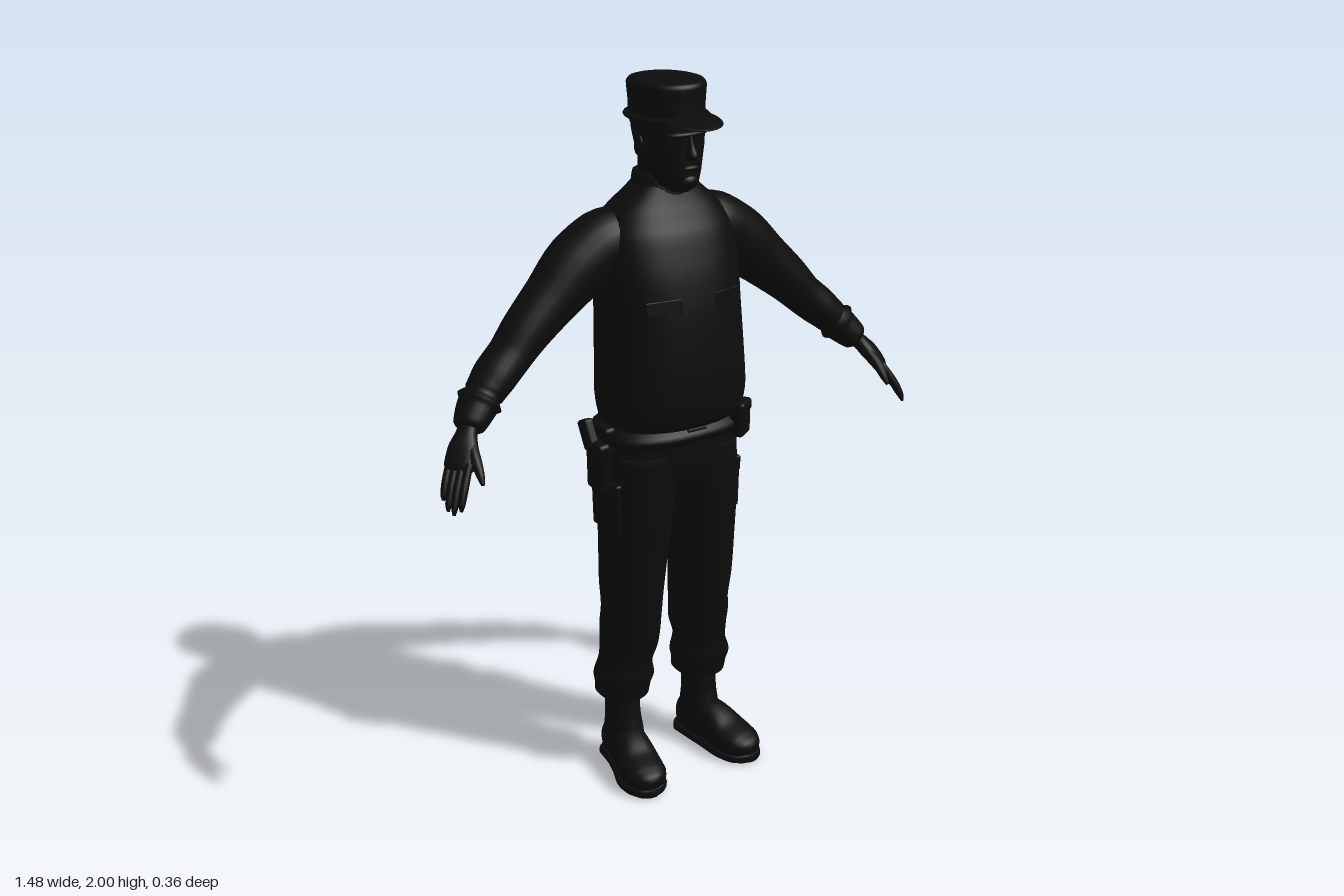
import * as THREE from 'three';
import { RoundedBoxGeometry } from 'three/addons/geometries/RoundedBoxGeometry.js';

const UP = new THREE.Vector3(0, 1, 0);

// Smooth skin through rings { c: centre, u, v: half-axis vectors }, squared off by power n
function skin(rings, n = 2, seg = 36) {
  const pos = [], idx = [];
  const bend = (k) => Math.sign(k) * Math.pow(Math.abs(k), 2 / n);
  for (const { c, u, v } of rings) {
    for (let j = 0; j < seg; j++) {
      const a = (j / seg) * Math.PI * 2;
      const p = c.clone().addScaledVector(u, bend(Math.cos(a))).addScaledVector(v, bend(Math.sin(a)));
      pos.push(p.x, p.y, p.z);
    }
  }
  const last = rings.length - 1;
  for (let i = 0; i < last; i++) {
    for (let j = 0; j < seg; j++) {
      const k = (j + 1) % seg, a = i * seg, b = a + seg;
      idx.push(a + j, a + k, b + k, a + j, b + k, b + j);
    }
  }
  const base = rings.length * seg;
  pos.push(...rings[0].c.toArray(), ...rings[last].c.toArray());
  for (let j = 0; j < seg; j++) {
    const k = (j + 1) % seg;
    idx.push(base, k, j, base + 1, last * seg + j, last * seg + k);
  }
  const g = new THREE.BufferGeometry();
  g.setAttribute('position', new THREE.Float32BufferAttribute(pos, 3));
  g.setIndex(idx);
  g.computeVertexNormals();
  return g;
}

// Adds in-between rows [x, y, z, ru, rv] along a smooth curve
function refine(rows, steps = 4) {
  const centre = new THREE.CatmullRomCurve3(rows.map((r) => new THREE.Vector3(r[0], r[1], r[2])));
  const size = new THREE.CatmullRomCurve3(rows.map((r) => new THREE.Vector3(r[3], r[4], 0)));
  const count = (rows.length - 1) * steps;
  return Array.from({ length: count + 1 }, (_, i) => {
    const t = i / count;
    return { c: centre.getPoint(t), d: centre.getTangent(t), s: size.getPoint(t) };
  });
}

// Upright body: rows [y, cx, cz, rx, rz] from bottom to top
function upright(rows, n, side = 1) {
  return skin(refine(rows.map(([y, x, z, a, b]) => [x * side, y, z, a, b])).map(({ c, s }) => ({
    c, u: new THREE.Vector3(s.x, 0, 0), v: new THREE.Vector3(0, 0, -s.y),
  })), n);
}

// Limb along a path: rows [x, y, z, half width, half thickness]
function limb(rows, n, side = 1, seg = 24) {
  return skin(refine(rows.map(([x, ...r]) => [x * side, ...r])).map(({ c, d, s }) => {
    const u = UP.clone().cross(d).normalize();
    const v = d.clone().cross(u).normalize();
    return { c, u: u.multiplyScalar(s.x), v: v.multiplyScalar(s.y) };
  }), n, seg);
}

export function createModel() {
  const model = new THREE.Group();
  model.name = 'uniformedFigure';
  const black = new THREE.MeshStandardMaterial({ color: 0x0c0c0c });
  black.name = 'black';

  const add = (name, geometry, p = [0, 0, 0], r = [0, 0, 0], s = [1, 1, 1]) => {
    const m = new THREE.Mesh(geometry, black);
    m.name = name;
    m.position.set(...p);
    m.rotation.set(...r);
    m.scale.set(...s);
    model.add(m);
    return m;
  };
  const box = (name, size, p, r) => add(name, new RoundedBoxGeometry(...size, 3, Math.min(...size) * 0.3), p, r);
  const ball = (name, p, s, r) => add(name, new THREE.SphereGeometry(1, 28, 18), p, r, s);

  // Shirt, bloused over the belt
  add('shirt', upright([
    [1.075, 0, -0.01, 0.18, 0.13], [1.1, 0, -0.005, 0.204, 0.146], [1.16, 0, -0.006, 0.212, 0.158],
    [1.25, 0, -0.01, 0.206, 0.164], [1.4, 0, -0.02, 0.2, 0.16], [1.5, 0, -0.03, 0.203, 0.15],
    [1.6, 0, -0.04, 0.19, 0.127], [1.66, 0, -0.048, 0.16, 0.103], [1.7, 0, -0.045, 0.115, 0.08],
    [1.73, 0, -0.043, 0.08, 0.066],
  ], 2.4));

  // Trouser seat and belt
  add('trouserSeat', upright([
    [0.87, 0, -0.022, 0.1, 0.08], [0.92, 0, -0.022, 0.18, 0.118], [1.0, 0, -0.023, 0.199, 0.131],
    [1.1, 0, -0.02, 0.197, 0.13],
  ], 2.5));
  add('belt', upright([
    [1.03, 0, -0.018, 0.198, 0.133], [1.035, 0, -0.018, 0.205, 0.139],
    [1.075, 0, -0.016, 0.205, 0.139], [1.08, 0, -0.016, 0.198, 0.133],
  ], 2.5));
  box('beltBuckle', [0.06, 0.048, 0.012], [0, 1.055, 0.122]);

  // Head, neck and face
  add('neck', upright([
    [1.64, 0, -0.04, 0.078, 0.066], [1.74, 0, -0.035, 0.071, 0.064], [1.82, 0, -0.03, 0.073, 0.068],
  ], 2));
  add('head', upright([
    [1.715, 0, 0.035, 0.026, 0.034], [1.732, 0, 0.02, 0.05, 0.07], [1.77, 0, 0, 0.068, 0.092],
    [1.83, 0, -0.012, 0.083, 0.103], [1.88, 0, -0.018, 0.088, 0.108], [1.95, 0, -0.02, 0.08, 0.1],
  ], 2.15));
  add('nose', upright([
    [1.803, 0, 0.088, 0.012, 0.012], [1.815, 0, 0.092, 0.017, 0.023],
    [1.84, 0, 0.086, 0.011, 0.016], [1.87, 0, 0.082, 0.008, 0.01],
  ], 2));
  ball('lips', [0, 1.782, 0.089], [0.026, 0.009, 0.012]);
  ball('chin', [0, 1.747, 0.075], [0.028, 0.02, 0.023]);
  ball('brow', [0, 1.868, 0.068], [0.062, 0.012, 0.026]);

  // Cap with a flared crown and a short peak
  add('capCrown', upright([
    [1.882, 0, -0.022, 0.09, 0.108], [1.9, 0, -0.022, 0.094, 0.111], [1.94, 0, -0.023, 0.095, 0.111],
    [1.983, 0, -0.024, 0.099, 0.113], [1.995, 0, -0.024, 0.093, 0.106], [2.0, 0, -0.024, 0.072, 0.084],
  ], 2.05));
  add('capBand', upright([
    [1.892, 0, -0.022, 0.093, 0.11], [1.896, 0, -0.022, 0.097, 0.114],
    [1.911, 0, -0.022, 0.097, 0.114], [1.915, 0, -0.022, 0.093, 0.11],
  ], 2));
  ball('capPeak', [0, 1.906, 0.08], [0.083, 0.009, 0.1], [0.1, 0, 0]);

  // Collar band and pointed flaps
  add('collarBand', upright([
    [1.69, 0, -0.042, 0.098, 0.078], [1.72, 0, -0.042, 0.089, 0.074],
    [1.755, 0, -0.046, 0.08, 0.068], [1.758, 0, -0.046, 0.074, 0.062],
  ], 2));
  for (const side of [1, -1]) {
    const flap = new THREE.Shape([[0.01, 1.69], [0.07, 1.73], [0.1, 1.68], [0.055, 1.615]]
      .map(([x, y]) => new THREE.Vector2(x * side, y - 1.68)));
    const flapGeo = new THREE.ExtrudeGeometry(flap, { depth: 0.012, bevelEnabled: false });
    add('collarFlap', flapGeo, [0, 1.68, 0.03], [-0.6, side * 0.3, 0]);
  }

  for (const side of [1, -1]) {
    const name = (part) => (side > 0 ? 'left' : 'right') + part;

    ball(name('Ear'), [side * 0.087, 1.832, -0.02], [0.01, 0.028, 0.017], [0.15, 0, 0]);
    box(name('ChestPocketFlap'), [0.1, 0.04, 0.012], [side * 0.1, 1.43, 0.115], [-0.15, side * 0.3, 0]);

    // Sleeve, with soft folds toward the cuff
    add(name('Sleeve'), limb([
      [0.09, 1.6, -0.06, 0.07, 0.07], [0.17, 1.575, -0.064, 0.09, 0.091], [0.25, 1.525, -0.066, 0.087, 0.092],
      [0.34, 1.45, -0.058, 0.074, 0.077], [0.42, 1.38, -0.05, 0.067, 0.066], [0.47, 1.33, -0.043, 0.062, 0.058],
      [0.52, 1.287, -0.034, 0.062, 0.056], [0.56, 1.25, -0.022, 0.055, 0.05], [0.585, 1.225, -0.012, 0.055, 0.05],
      [0.625, 1.185, 0.012, 0.043, 0.039], [0.632, 1.178, 0.017, 0.03, 0.028],
    ], 2, side));

    // Hand: palm, four fingers and thumb
    add(name('Palm'), limb([
      [0.61, 1.2, 0.005, 0.026, 0.024], [0.637, 1.17, 0.022, 0.028, 0.022], [0.66, 1.14, 0.043, 0.04, 0.022],
      [0.683, 1.102, 0.063, 0.042, 0.018], [0.689, 1.092, 0.067, 0.034, 0.012],
    ], 2.3, side));
    for (let f = 0; f < 4; f++) {
      const x = 0.673 + f * 0.008, z = 0.094 - f * 0.019;
      const len = [0.93, 1.05, 1, 0.8][f];
      add(name('Finger'), limb([
        [x - 0.006, 1.115, z - 0.006, 0.01, 0.01], [x + 0.024 * len, 1.105 - 0.045 * len, z + 0.018 * len, 0.011, 0.011],
        [x + 0.041 * len, 1.105 - 0.085 * len, z + 0.032 * len, 0.009, 0.009],
        [x + 0.046 * len, 1.105 - 0.102 * len, z + 0.037 * len, 0.004, 0.004],
      ], 2, side, 12));
    }
    add(name('Thumb'), limb([
      [0.636, 1.16, 0.04, 0.014, 0.014], [0.648, 1.125, 0.085, 0.015, 0.014],
      [0.652, 1.09, 0.117, 0.011, 0.011], [0.654, 1.07, 0.133, 0.005, 0.005],
    ], 2, side, 12));

    // Trouser leg gathered above the boot
    add(name('TrouserLeg'), upright([
      [0.222, 0.132, -0.06, 0.058, 0.066], [0.236, 0.132, -0.06, 0.073, 0.081], [0.265, 0.132, -0.055, 0.077, 0.08],
      [0.295, 0.131, -0.05, 0.084, 0.084], [0.345, 0.127, -0.046, 0.07, 0.083], [0.4, 0.118, -0.042, 0.076, 0.092],
      [0.45, 0.117, -0.037, 0.077, 0.098], [0.5, 0.114, -0.034, 0.074, 0.102], [0.58, 0.116, -0.029, 0.08, 0.106],
      [0.7, 0.112, -0.024, 0.086, 0.113], [0.82, 0.107, -0.021, 0.092, 0.122], [0.92, 0.1, -0.022, 0.099, 0.127],
      [1.0, 0.098, -0.022, 0.097, 0.125],
    ], 2.25, side));
    box(name('ThighPocket'), [0.02, 0.14, 0.13], [side * 0.194, 0.84, -0.025], [0, 0, side * -0.03]);
    box(name('ThighPocketFlap'), [0.022, 0.045, 0.136], [side * 0.196, 0.9, -0.025], [0, 0, side * -0.03]);

    // Boot: shaft, foot and sole, toes turned slightly out
    add(name('BootShaft'), upright([
      [0.04, 0.132, -0.06, 0.05, 0.062], [0.1, 0.132, -0.05, 0.052, 0.068],
      [0.17, 0.133, -0.054, 0.047, 0.058], [0.25, 0.133, -0.058, 0.047, 0.054],
    ], 2.1, side));
    add(name('BootFoot'), limb([
      [0.126, 0.06, -0.124, 0.024, 0.038], [0.128, 0.062, -0.105, 0.045, 0.054], [0.134, 0.072, -0.05, 0.052, 0.066],
      [0.145, 0.07, 0.01, 0.055, 0.062], [0.158, 0.054, 0.07, 0.064, 0.047], [0.166, 0.046, 0.125, 0.06, 0.039],
      [0.171, 0.04, 0.155, 0.042, 0.03], [0.173, 0.036, 0.168, 0.018, 0.016],
    ], 2.3, side));
    add(name('BootSole'), limb([
      [0.126, 0.014, -0.132, 0.03, 0.014], [0.128, 0.015, -0.11, 0.05, 0.015], [0.136, 0.015, -0.04, 0.053, 0.015],
      [0.147, 0.015, 0.02, 0.06, 0.015], [0.16, 0.015, 0.08, 0.069, 0.015], [0.168, 0.015, 0.13, 0.061, 0.015],
      [0.173, 0.015, 0.16, 0.038, 0.014], [0.174, 0.015, 0.172, 0.014, 0.012],
    ], 4, side));
  }

  // Holster with pistol grip on the right hip
  box('holsterHanger', [0.04, 0.08, 0.06], [-0.205, 1.045, -0.01]);
  box('holster', [0.04, 0.15, 0.075], [-0.228, 0.975, -0.01], [0.1, 0, 0.08]);
  box('pistolGrip', [0.032, 0.085, 0.045], [-0.243, 1.06, -0.035], [-0.4, 0, 0.06]);

  // Belt pouches on the left hip
  box('sidePouch', [0.045, 0.11, 0.075], [0.197, 1.078, 0.0]);
  box('sidePouchFlap', [0.049, 0.04, 0.08], [0.197, 1.115, 0.0]);
  box('frontPouch', [0.065, 0.1, 0.045], [0.155, 1.068, 0.104], [0, 0.6, 0]);
  box('frontPouchFlap', [0.069, 0.036, 0.05], [0.155, 1.102, 0.104], [0, 0.6, 0]);

  return model;
}
